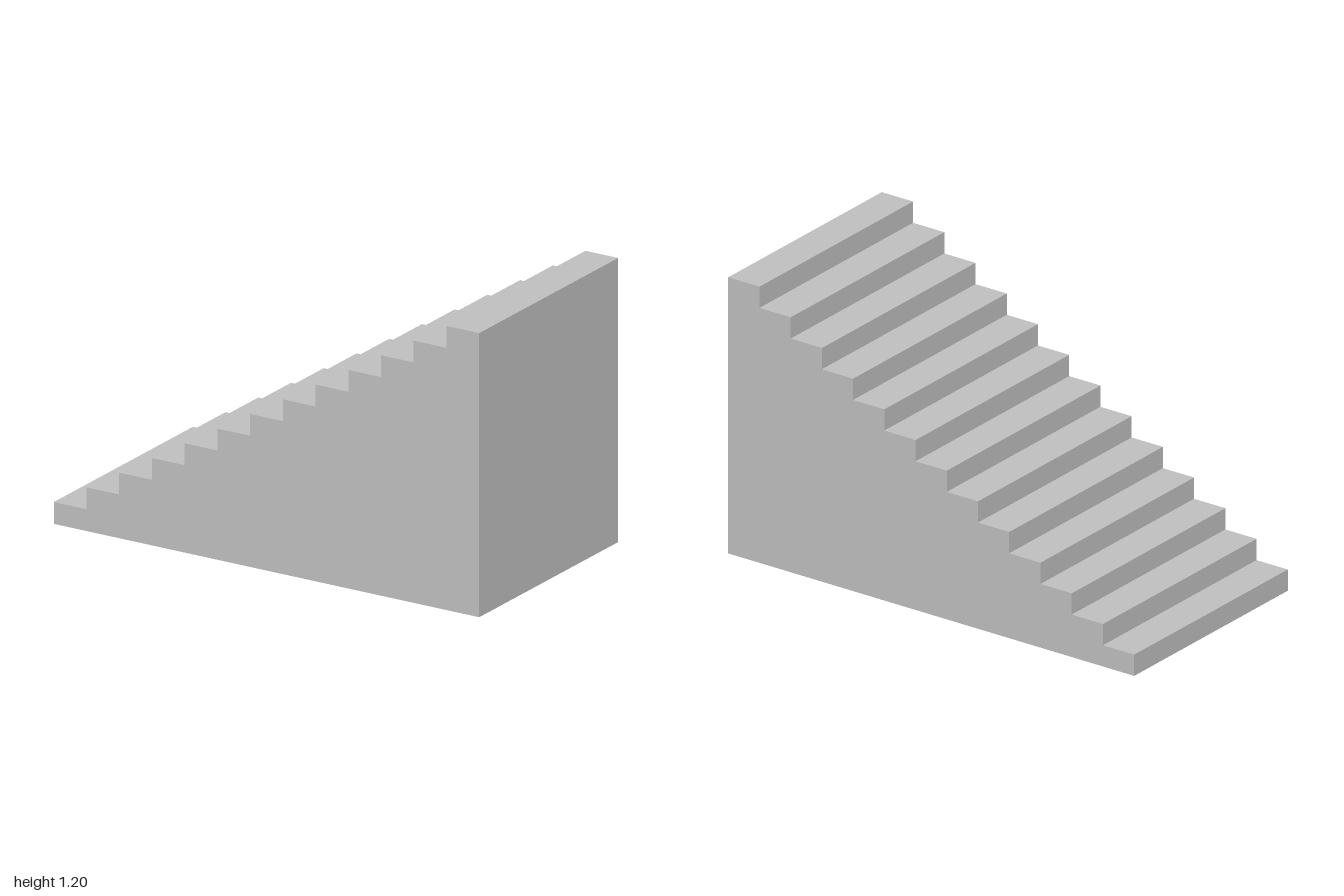
import * as THREE from 'three';

const STEPS = 13;
const LENGTH = 2;
const HEIGHT = 1.2;
const WIDTH = 1.026;

export function createModel() {
  const group = new THREE.Group();
  group.name = 'staircase';

  const concrete = new THREE.MeshStandardMaterial({ color: 0xc0c0c0 });
  concrete.name = 'concrete grey';

  // Stepped side profile, rising towards +x
  const run = LENGTH / STEPS;
  const rise = HEIGHT / STEPS;
  const profile = new THREE.Shape();
  profile.moveTo(-LENGTH / 2, 0);
  profile.lineTo(LENGTH / 2, 0);
  profile.lineTo(LENGTH / 2, HEIGHT);
  for (let i = STEPS - 1; i >= 0; i--) {
    const x = -LENGTH / 2 + i * run;
    profile.lineTo(x, (i + 1) * rise);
    if (i > 0) profile.lineTo(x, i * rise);
  }
  profile.closePath();

  // Solid flight of steps
  const geometry = new THREE.ExtrudeGeometry(profile, { depth: WIDTH, bevelEnabled: false });
  geometry.translate(0, 0, -WIDTH / 2);
  const stairs = new THREE.Mesh(geometry, concrete);
  stairs.name = 'solidSteps';
  group.add(stairs);

  return group;
}
